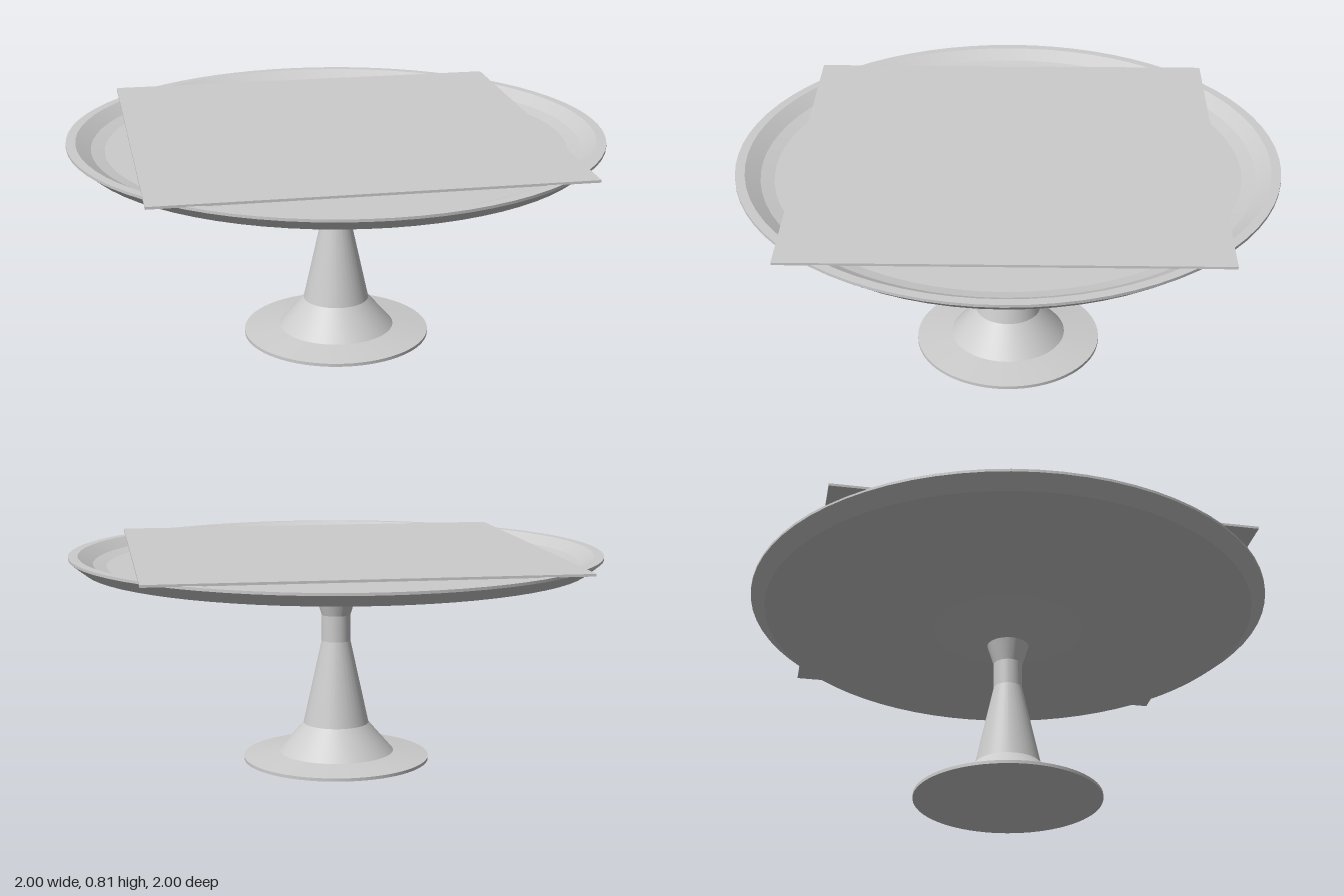
import * as THREE from 'three';
import { toCreasedNormals } from 'three/addons/utils/BufferGeometryUtils.js';

export function createModel() {
  const model = new THREE.Group();
  model.name = 'pedestalTable';
  const paleGrey = new THREE.MeshStandardMaterial({ color: 0xcccccc });
  paleGrey.name = 'paleGrey';

  const add = (name, geometry) => {
    const mesh = new THREE.Mesh(geometry, paleGrey);
    mesh.name = name;
    model.add(mesh);
    return mesh;
  };

  // Turned part from [radius, height] pairs, outside running upwards
  const turned = (name, profile) => {
    const points = profile.map(([r, y]) => new THREE.Vector2(r, y));
    return add(name, toCreasedNormals(new THREE.LatheGeometry(points, 72), 0.15));
  };

  // Round foot with a sloping skirt
  turned('foot', [[0, 0], [0.355, 0], [0.355, 0.012], [0.22, 0.03], [0.125, 0.14]]);

  // Tapered stem
  turned('stem', [[0.125, 0.14], [0.055, 0.46], [0.055, 0.56], [0.08, 0.64]]);

  // Flared support, thinning to a sharp edge below the tray
  turned('support', [[0.08, 0.64], [0.29, 0.708], [0.8, 0.727], [0, 0.727]]);

  // Shallow round tray with a bevelled rim
  turned('tray', [
    [0, 0.75], [0.945, 0.75], [1, 0.793], [1, 0.803], [0.965, 0.803],
    [0.91, 0.772], [0.86, 0.762], [0, 0.76],
  ]);

  // Thin square top resting on the rim
  add('squareTop', new THREE.BoxGeometry(1.54, 0.009, 1.54)).position.y = 0.8055;

  return model;
}
